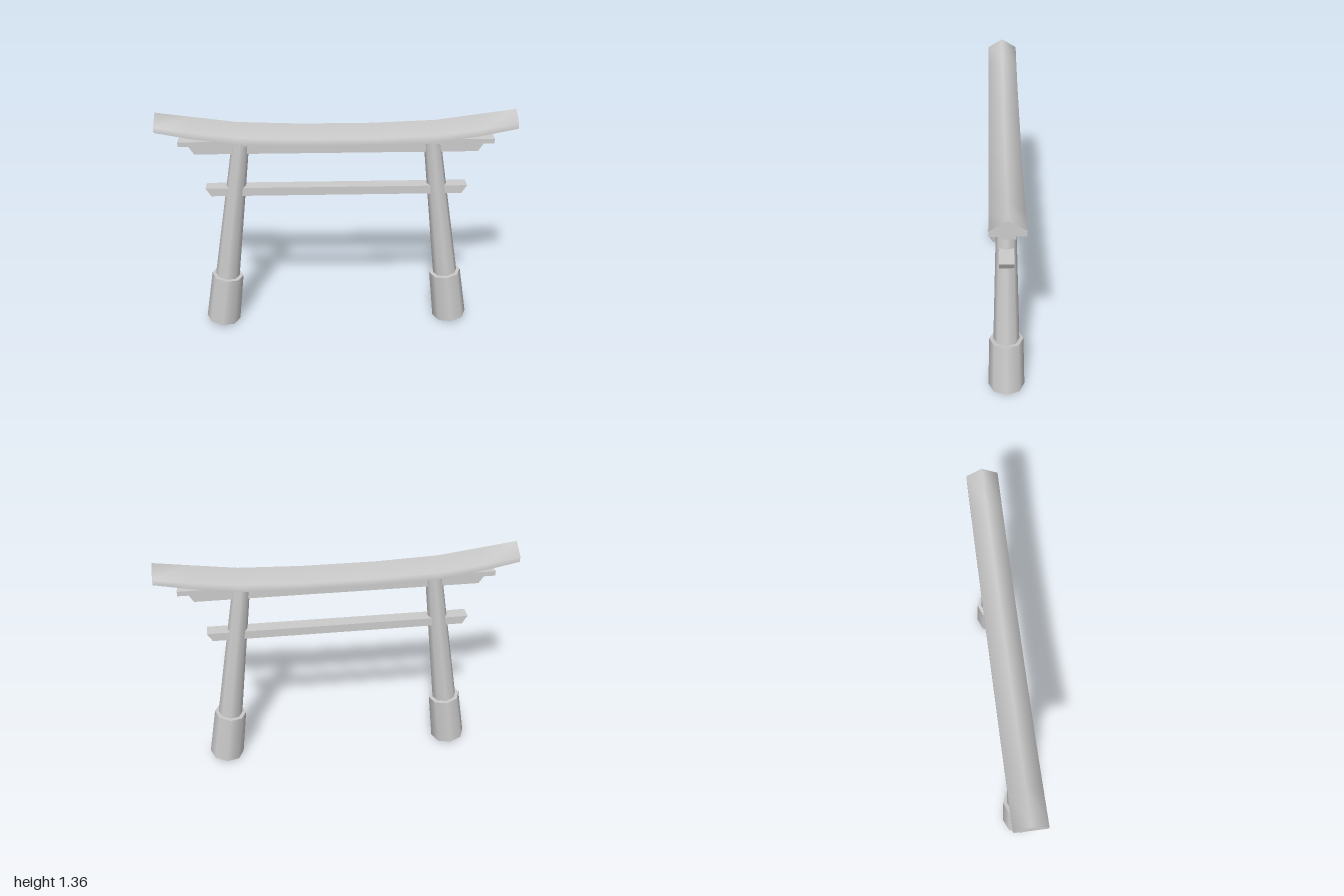
import * as THREE from 'three';
import { toCreasedNormals } from 'three/addons/utils/BufferGeometryUtils.js';

const material = new THREE.MeshStandardMaterial({ color: 0xcccccc });

function addMesh(parent, name, geometry) {
  const mesh = new THREE.Mesh(geometry, material);
  mesh.name = name;
  parent.add(mesh);
  return mesh;
}

// Crossbar with slanted ends: a trapezoid outline extruded along z
function crossbar(halfTop, halfBottom, y0, y1, halfDepth) {
  const shape = new THREE.Shape([
    new THREE.Vector2(-halfBottom, y0), new THREE.Vector2(halfBottom, y0),
    new THREE.Vector2(halfTop, y1), new THREE.Vector2(-halfTop, y1),
  ]);
  const geometry = new THREE.ExtrudeGeometry(shape, { depth: 2 * halfDepth, bevelEnabled: false });
  return geometry.translate(0, 0, -halfDepth);
}

// Eight-sided tapered column leaning from point a to point b, in the z = 0 plane
function addColumn(parent, name, a, b, radiusA, radiusB) {
  const dx = b[0] - a[0], dy = b[1] - a[1];
  const mesh = addMesh(parent, name, new THREE.CylinderGeometry(radiusB, radiusA, Math.hypot(dx, dy), 8));
  mesh.position.set((a[0] + b[0]) / 2, (a[1] + b[1]) / 2, 0);
  mesh.rotation.z = -Math.atan2(dx, dy);
}

// Upswept roof beam: five-sided gable sections joined along x
function roofBeam() {
  const half = [ // x, underside, eave, ridge
    [0.2, 1.19, 1.227, 1.287],
    [0.55, 1.2, 1.24, 1.3],
    [0.8, 1.235, 1.272, 1.333],
    [1, 1.275, 1.305, 1.36],
  ];
  const stations = [...half.map(([x, ...ys]) => [-x, ...ys]).reverse(), ...half];
  const w = 0.088;
  const positions = [], index = [];
  stations.forEach(([x, under, eave, ridge]) => {
    positions.push(x, under, w, x, eave, w, x, ridge, 0, x, eave, -w, x, under, -w);
  });
  const n = 5, last = (stations.length - 1) * n;
  for (let s = 0; s < last; s += n) {
    for (let i = 0; i < n; i++) {
      const a = s + i, b = s + (i + 1) % n;
      index.push(a, a + n, b + n, a, b + n, b);
    }
  }
  // End caps
  for (let i = 1; i < n - 1; i++) {
    index.push(0, i, i + 1, last, last + i + 1, last + i);
  }
  const geometry = new THREE.BufferGeometry();
  geometry.setAttribute('position', new THREE.Float32BufferAttribute(positions, 3));
  geometry.setIndex(index);
  return toCreasedNormals(geometry, 1.25);
}

export function createModel() {
  const gate = new THREE.Group();
  gate.name = 'gate';

  // Horizontal members, top to bottom
  addMesh(gate, 'roofBeam', roofBeam());
  addMesh(gate, 'capPlank', crossbar(0.885, 0.885, 1.172, 1.2, 0.043));
  addMesh(gate, 'upperBeam', crossbar(0.835, 0.8, 1.117, 1.172, 0.02));
  addMesh(gate, 'tieBeam', crossbar(0.75, 0.72, 0.865, 0.914, 0.039));

  // Leaning posts standing in thicker sleeves
  for (const [side, s] of [['left', 1], ['right', -1]]) {
    addColumn(gate, side + 'Post', [s * 0.665, 0.3], [s * 0.537, 1.193], 0.072, 0.048);
    addColumn(gate, side + 'Sleeve', [s * 0.705, 0.015], [s * 0.661, 0.323], 0.102, 0.094);
  }
  return gate;
}
